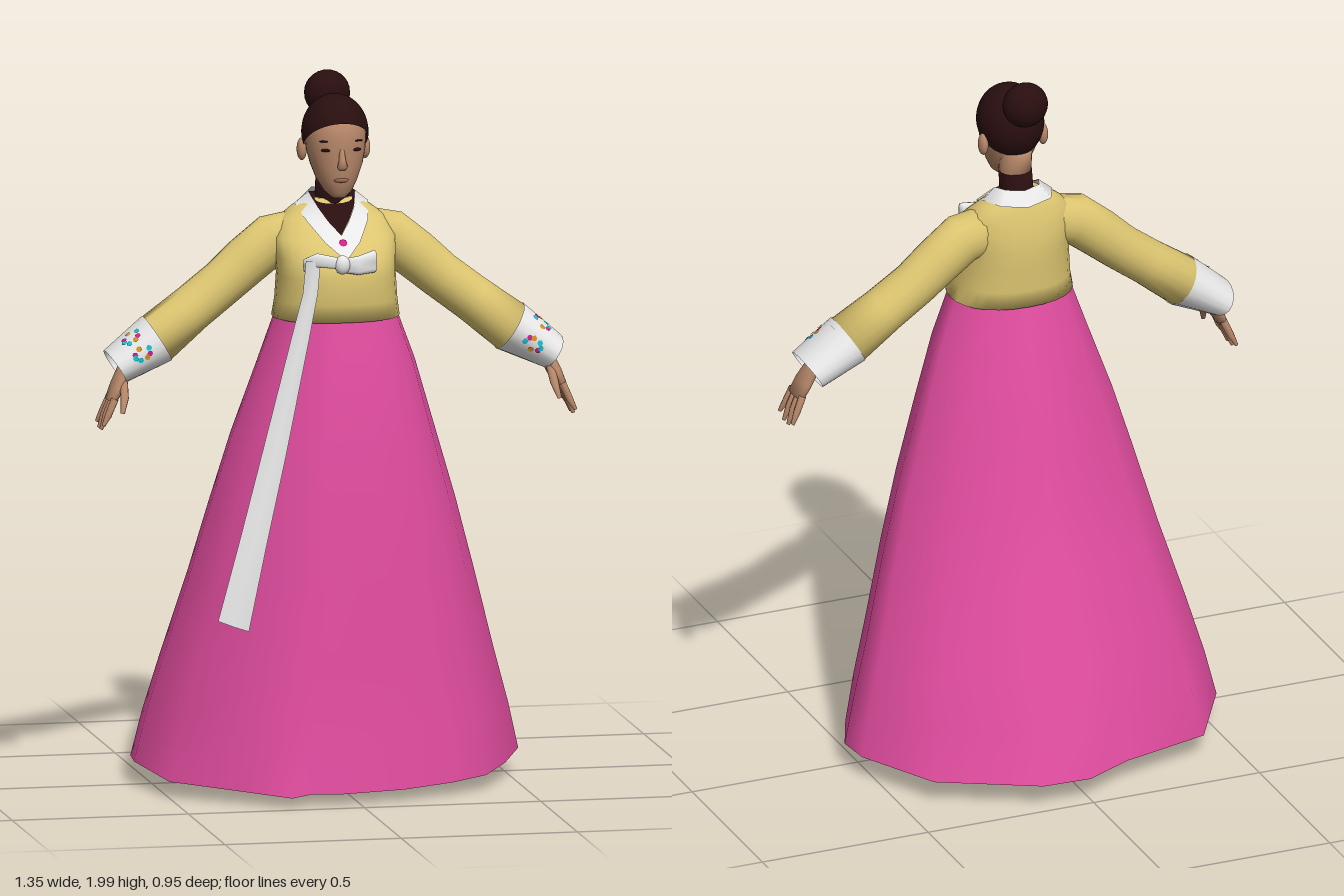
import * as THREE from 'three';

const V = (x, y, z) => new THREE.Vector3(x, y, z);

function material(name, color, side = THREE.DoubleSide) {
  const m = new THREE.MeshStandardMaterial({ color, side });
  m.name = name;
  return m;
}

// Surface through rows of points; rows may close into loops and be capped at both ends
function loft(rows, closed = true, cap = false) {
  const n = rows[0].length, pos = [], idx = [];
  rows.forEach(r => r.forEach(p => pos.push(p.x, p.y, p.z)));
  for (let j = 0; j < rows.length - 1; j++) {
    for (let i = 0; i < (closed ? n : n - 1); i++) {
      const a = j * n + i, b = j * n + (i + 1) % n;
      idx.push(a, a + n, b, b, a + n, b + n);
    }
  }
  if (cap) {
    const e = (rows.length - 1) * n;
    for (let i = 1; i < n - 1; i++) idx.push(0, i, i + 1, e, e + i + 1, e + i);
  }
  const g = new THREE.BufferGeometry();
  g.setAttribute('position', new THREE.Float32BufferAttribute(pos, 3));
  g.setIndex(idx);
  g.computeVertexNormals();
  return g;
}

// Rounded limb along path rows [x, y, z, radius across, radius along axis v]
function limb(path, { v = V(0, 0, 1), n = 18, cap = true, power = 1 } = {}) {
  const c = path.map(p => V(p[0], p[1], p[2]));
  const bulge = k => Math.sign(k) * Math.abs(k) ** power;
  return loft(c.map((p, j) => {
    const t = c[Math.min(j + 1, c.length - 1)].clone().sub(c[Math.max(j - 1, 0)]);
    const u = t.cross(v).normalize();
    return Array.from({ length: n }, (_, i) => {
      const a = i / n * Math.PI * 2;
      return p.clone().addScaledVector(u, bulge(Math.cos(a)) * path[j][3])
        .addScaledVector(v, bulge(Math.sin(a)) * path[j][4]);
    });
  }), true, cap);
}

// Upright form from rows [y, half width, back z, front z]; the axis stays vertical
function upright(rows, power = 1, cap = true, n = 28) {
  const bulge = k => Math.sign(k) * Math.abs(k) ** power;
  return loft(rows.map(([y, w, b, f]) => Array.from({ length: n }, (_, i) => {
    const a = i / n * Math.PI * 2;
    return V(bulge(Math.cos(a)) * w, y, (b + f) / 2 + bulge(Math.sin(a)) * (f - b) / 2);
  })), true, cap);
}

export function createModel() {
  const model = new THREE.Group();
  const yellow = material('yellow cloth', 0xdcc570);
  const pink = material('pink cloth', 0xe04c9e);
  const white = material('white cloth', 0xececec);
  const skin = material('skin', 0xb58668);
  const hair = material('dark hair', 0x290e0f);
  const lip = material('lips', 0x9a6352);
  const cyan = material('cyan thread', 0x18c0d0);
  const magenta = material('magenta thread', 0xd02088);
  const orange = material('orange thread', 0xd89020);

  const add = (name, geometry, mat, parent = model) => {
    const m = new THREE.Mesh(geometry, mat);
    m.name = name;
    parent.add(m);
    return m;
  };
  const ball = (name, mat, p, r) => add(name, new THREE.SphereGeometry(1, 20, 14)
    .scale(...r).translate(...p), mat);

  // Skirt: uneven hem easing into a round waist
  const hem = [[.54, 0], [.47, .16], [.39, .29], [.28, .36], [.13, .42], [-.06, .45], [-.14, .44], [-.2, .475],
    [-.32, .38], [-.5, .24], [-.55, 0], [-.54, -.1], [-.4, -.34], [-.14, -.41], [0, -.48], [.14, -.475], [.41, -.33], [.53, -.1]];
  const skirtRows = [ // y, left x, right x, back z, front z
    [.07, -.55, .54, -.478, .46], [.2, -.52, .51, -.43, .43], [.36, -.475, .465, -.37, .405], [.6, -.405, .4, -.27, .375],
    [.8, -.35, .345, -.2, .345], [1, -.29, .285, -.145, .315], [1.2, -.22, .225, -.08, .275], [1.36, -.165, .165, -.025, .235]];
  const r0 = skirtRows[0];
  add('skirt', loft(skirtRows.map(([y, l, r, b, f], k) => hem.map(([x, z]) => {
    const ux = (x - (r0[1] + r0[2]) / 2) / ((r0[2] - r0[1]) / 2);
    const uz = (z - (r0[3] + r0[4]) / 2) / ((r0[4] - r0[3]) / 2);
    const s = THREE.MathUtils.lerp(1, 1 / Math.hypot(ux, uz), k / 7);
    const drop = k ? 0 : .035 * Math.max(0, z / .47);
    return V((l + r) / 2 + ux * s * (r - l) / 2, y - drop, (b + f) / 2 + uz * s * (f - b) / 2);
  }))), pink);

  // Jacket body
  add('jacketBody', upright([[1.33, .178, -.045, .25], [1.38, .17, -.046, .26], [1.45, .165, -.05, .265],
    [1.5, .168, -.05, .248], [1.55, .172, -.045, .19], [1.6, .15, -.032, .125],
    [1.63, .11, -.022, .1], [1.655, .065, -.01, .09]], .88), yellow);

  // Collar band crossing to a V, with the dark inset behind it
  const inner = [[0, 1.67, -.006], [.05, 1.675, .008], [.066, 1.67, .05], [.052, 1.635, .108], [.03, 1.6, .145], [0, 1.565, .184]];
  const outer = [[0, 1.63, -.034], [.075, 1.64, -.02], [.105, 1.638, .045], [.087, 1.6, .13], [.05, 1.55, .203], [0, 1.505, .257]];
  const pts = (list, s) => list.map(p => V(p[0] * s, p[1], p[2]));
  for (const s of [-1, 1]) add('collarBand', loft([pts(inner, s), pts(outer, s)], false), white);
  add('neckInset', loft([pts(inner.slice(2), 1), pts(inner.slice(2), -1)], false).translate(0, 0, -.003), hair);
  add('collarMotif', new THREE.CircleGeometry(.012, 8).rotateX(-.7).translate(0, 1.549, .208), magenta);

  // Sleeves, cuffs and hands
  for (const s of [1, -1]) {
    const arm = new THREE.Group();
    arm.name = s > 0 ? 'leftArm' : 'rightArm';
    model.add(arm);
    const side = rows => rows.map(([x, ...r]) => [x * s, ...r]);
    add('sleeve', limb(side([[.07, 1.56, .04, .065, .055], [.17, 1.535, .04, .073, .066], [.24, 1.48, .042, .07, .066],
      [.31, 1.42, .045, .066, .066], [.4, 1.352, .055, .066, .07], [.51, 1.268, .07, .072, .08]])), yellow, arm);
    const a = V(.5 * s, 1.275, .07), b = V(.62 * s, 1.2, .075);
    add('cuff', limb([[a.x, a.y, a.z, .074, .083], [b.x, b.y, b.z, .051, .09]], { cap: false }), white, arm);

    // Embroidered dots in two clusters, front and upper side of the cuff
    const v = V(0, 0, 1), u = b.clone().sub(a).cross(v).normalize();
    for (const centre of [1.45, s > 0 ? 2.6 : .55]) {
      for (let i = 0; i < 7; i++) {
        const ang = centre + Math.sin(i * 2.4) * .25, t = .45 + Math.cos(i * 2.4) * .17;
        const ru = THREE.MathUtils.lerp(.074, .051, t) + .002, rv = THREE.MathUtils.lerp(.083, .09, t) + .002;
        const p = a.clone().lerp(b, t).addScaledVector(u, Math.cos(ang) * ru).addScaledVector(v, Math.sin(ang) * rv);
        const nrm = u.clone().multiplyScalar(Math.cos(ang) / ru).addScaledVector(v, Math.sin(ang) / rv);
        const dot = add('cuffMotif', new THREE.CircleGeometry(.0085, 6), [cyan, magenta, orange, cyan][i % 4], arm);
        dot.position.copy(p);
        dot.lookAt(p.clone().add(nrm));
      }
    }

    add('palm', limb(side([[.55, 1.25, .085, .022, .026], [.595, 1.2, .095, .021, .028],
      [.62, 1.15, .105, .02, .04], [.64, 1.11, .11, .014, .042]])), skin, arm);
    for (let i = 0; i < 4; i++) {
      const z = .076 + i * .023, tip = [.012, 0, 0, .014][i];
      add('finger', limb(side([[.635, 1.12, z, .011, .011], [.655, 1.075, z + (i - 1.5) * .004, .01, .01],
        [.67, 1.033 + tip, z + (i - 1.5) * .008, .005, .006]]), { n: 8 }), skin, arm);
    }
    add('thumb', limb(side([[.605, 1.17, .12, .012, .012], [.61, 1.125, .16, .012, .012],
      [.62, 1.085, .182, .006, .006]]), { n: 8 }), skin, arm);
  }

  // Bow: knot, loop, short end and the long hanging ribbon
  const across = { v: V(0, 1, 0), n: 12, power: .7 };
  add('bowLoop', limb([[-.01, 1.495, .265, .008, .02], [.03, 1.495, .27, .014, .027], [.08, 1.503, .255, .012, .032]], across), white);
  add('bowShortEnd', limb([[-.115, 1.495, .235, .008, .018], [-.085, 1.512, .262, .014, .02], [-.01, 1.5, .268, .01, .015]], across), white);
  ball('bowKnot', white, [-.015, 1.498, .27], [.022, .027, .018]);
  const ribbon = [[-.115, 1.51, -.075, 1.515, .265], [-.125, 1.42, -.085, 1.42, .272], [-.165, 1.28, -.115, 1.28, .285],
    [-.25, .98, -.185, .97, .315], [-.32, .74, -.245, .73, .345], [-.385, .52, -.3, .49, .365]];
  add('longRibbon', loft(ribbon.map(([x1, y1, x2, y2, z]) =>
    [V(x1, y1, z - .012), V((x1 + x2) / 2, (y1 + y2) / 2, z + .008), V(x2, y2, z)]), false), white);

  // Neck and head
  add('neck', upright([[1.58, .055, 0, .1], [1.65, .048, .005, .095], [1.71, .047, .015, .105]]), hair);
  add('nape', upright([[1.705, .046, .016, .105], [1.77, .05, .015, .12]]), skin);
  add('face', upright([[1.668, .018, .125, .165], [1.685, .038, .09, .182], [1.72, .058, .045, .19], [1.76, .073, .028, .194],
    [1.8, .082, .012, .194], [1.84, .085, .004, .196], [1.88, .079, .01, .185], [1.92, .05, .04, .15]], .95), skin);
  add('hairCap', new THREE.SphereGeometry(1, 32, 20, 0, Math.PI * 2, 0, 1.85)
    .rotateX(-.64).scale(.093, .106, .106).translate(0, 1.845, .095), hair);
  ball('hairBun', hair, [0, 1.936, -.012], [.065, .064, .055]);
  add('nose', limb([[0, 1.815, .188, .006, .006], [0, 1.78, .198, .01, .012], [0, 1.762, .2, .015, .015],
    [0, 1.752, .192, .01, .01]], { n: 10 }), skin);
  ball('mouth', lip, [0, 1.722, .186], [.021, .007, .008]);
  for (const s of [-1, 1]) {
    ball('ear', skin, [s * .09, 1.795, .075], [.014, .032, .019]);
    ball('eye', hair, [s * .039, 1.807, .18], [.018, .005, .008]);
    ball('eyebrow', hair, [s * .042, 1.832, .179], [.021, .0025, .008]);
  }

  // Legs and pointed shoes
  for (const [x, turn] of [[.135, 1], [-.165, -1]]) {
    add('leg', limb([[x, .1, .005, .03, .033], [x, .3, .005, .045, .048], [x * .85, .6, .03, .05, .055],
      [x * .6, 1.1, .07, .07, .075]]), hair);
    add('ankle', limb([[x, .04, .005, .029, .031], [x, .11, .005, .031, .034]]), skin);
    add('shoe', limb([[x, .045, -.04, .028, .025], [x, .042, -.02, .036, .04], [x, .042, .04, .035, .044],
      [x + turn * .004, .037, .12, .031, .053], [x + turn * .008, .032, .2, .026, .048],
      [x + turn * .01, .032, .25, .018, .027], [x + turn * .01, .04, .272, .008, .008]],
    { v: V(1, 0, 0), power: .8 }), white);
  }
  return model;
}
